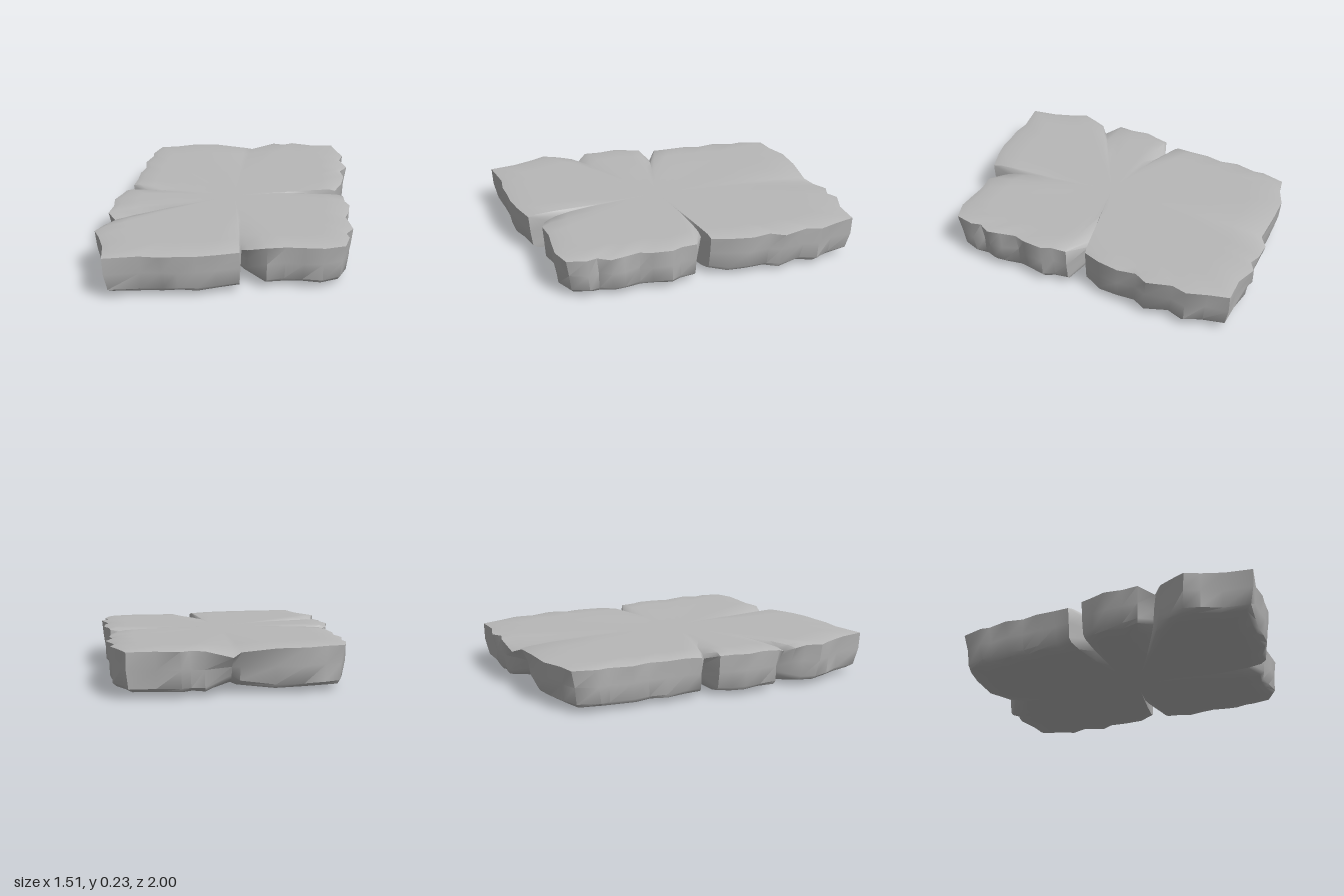
import * as THREE from 'three';
import { toCreasedNormals } from 'three/addons/utils/BufferGeometryUtils.js';

// Chipped outline of the slab as x, z pairs, clockwise seen from above
const OUTLINE = [
  0.17, -1, 0.23, -0.92, 0.3, -0.84, 0.31, -0.76, 0.39, -0.66, 0.38, -0.58, 0.43, -0.5,
  0.455, -0.39, 0.455, -0.29, 0.41, -0.255, 0.385, -0.235, 0.525, -0.225, 0.56, -0.155,
  0.6, -0.115, 0.63, -0.02, 0.635, 0.045, 0.68, 0.11, 0.72, 0.17, 0.71, 0.24, 0.74, 0.28,
  0.757, 0.38, 0.68, 0.45, 0.59, 0.485, 0.51, 0.515, 0.43, 0.565, 0.33, 0.575, 0.295, 0.565,
  0.33, 0.66, 0.24, 0.74, 0.165, 0.795, 0.085, 0.835, 0.015, 0.875, -0.075, 0.905, -0.217, 1,
  -0.285, 0.885, -0.36, 0.8, -0.42, 0.745, -0.42, 0.665, -0.43, 0.605, -0.405, 0.55,
  -0.49, 0.51, -0.51, 0.425, -0.555, 0.345, -0.56, 0.265, -0.57, 0.2, -0.495, 0.13,
  -0.58, 0.11, -0.6, 0.03, -0.64, -0.065, -0.655, -0.155, -0.705, -0.235, -0.72, -0.35,
  -0.745, -0.395, -0.757, -0.52, -0.68, -0.57, -0.6, -0.65, -0.47, -0.71, -0.31, -0.77,
  -0.285, -0.82, -0.165, -0.88, -0.1, -0.885, -0.065, -0.935, 0.05, -0.945,
];
// Cross-section from the middle of the top, over the rim, to the middle of the base: scale, height
const SECTION = [
  [0.3, 0.224], [0.55, 0.226], [0.8, 0.227], [0.94, 0.227], [1, 0.218],
  [0.998, 0.13], [0.985, 0.045], [0.96, 0.027], [0.85, 0.015], [0.6, 0.003], [0.3, 0],
];
// Cracks in the rim where the slab has split: x, z
const NOTCHES = [[0.385, -0.235], [0.295, 0.565], [-0.405, 0.55], [-0.495, 0.13], [-0.285, -0.82]];
const CENTRE_Z = 0.03;

function notchStrength(x, z) {
  let s = 0;
  for (const [nx, nz] of NOTCHES) s = Math.max(s, Math.exp(-((x - nx) ** 2 + (z - nz) ** 2) / 0.004));
  return s;
}

function slabGeometry() {
  const n = OUTLINE.length / 2;
  const rings = SECTION.length;
  const pos = [];
  const index = [];

  SECTION.forEach(([scale, height], r) => {
    const top = r < 5;
    for (let i = 0; i < n; i++) {
      const ox = OUTLINE[2 * i];
      const oz = OUTLINE[2 * i + 1];
      const notch = notchStrength(ox, oz);
      // Lower wall is uneven and cut deeper at the cracks
      const wear = top ? 0 : 0.012 * (1 + Math.sin(i * 2.3 + r)) * (r < 8 ? 1 : 0) + 0.07 * notch;
      const k = scale - wear;
      const fade = scale ** 4;
      const y = height + (top ? -0.035 : r > 5 ? 0.045 : 0) * notch * fade;
      pos.push(ox * k, y, CENTRE_Z + (oz - CENTRE_Z) * k);
    }
  });
  const topCentre = rings * n;
  pos.push(0, 0.223, CENTRE_Z, 0, 0, CENTRE_Z);

  for (let i = 0; i < n; i++) {
    const j = (i + 1) % n;
    index.push(topCentre, j, i);
    for (let r = 0; r < rings - 1; r++) {
      const a = r * n + i, b = r * n + j, c = a + n, d = b + n;
      index.push(a, b, d, a, d, c);
    }
    const last = (rings - 1) * n;
    index.push(topCentre + 1, last + i, last + j);
  }

  const geometry = new THREE.BufferGeometry();
  geometry.setAttribute('position', new THREE.Float32BufferAttribute(pos, 3));
  geometry.setIndex(index);
  return toCreasedNormals(geometry, 0.8);
}

export function createModel() {
  const stone = new THREE.MeshStandardMaterial({ color: 0xb8b8b8 });
  stone.name = 'stone grey';

  const slab = new THREE.Mesh(slabGeometry(), stone);
  slab.name = 'stoneSlab';

  const group = new THREE.Group();
  group.name = 'brokenPavingStone';
  group.add(slab);
  return group;
}
